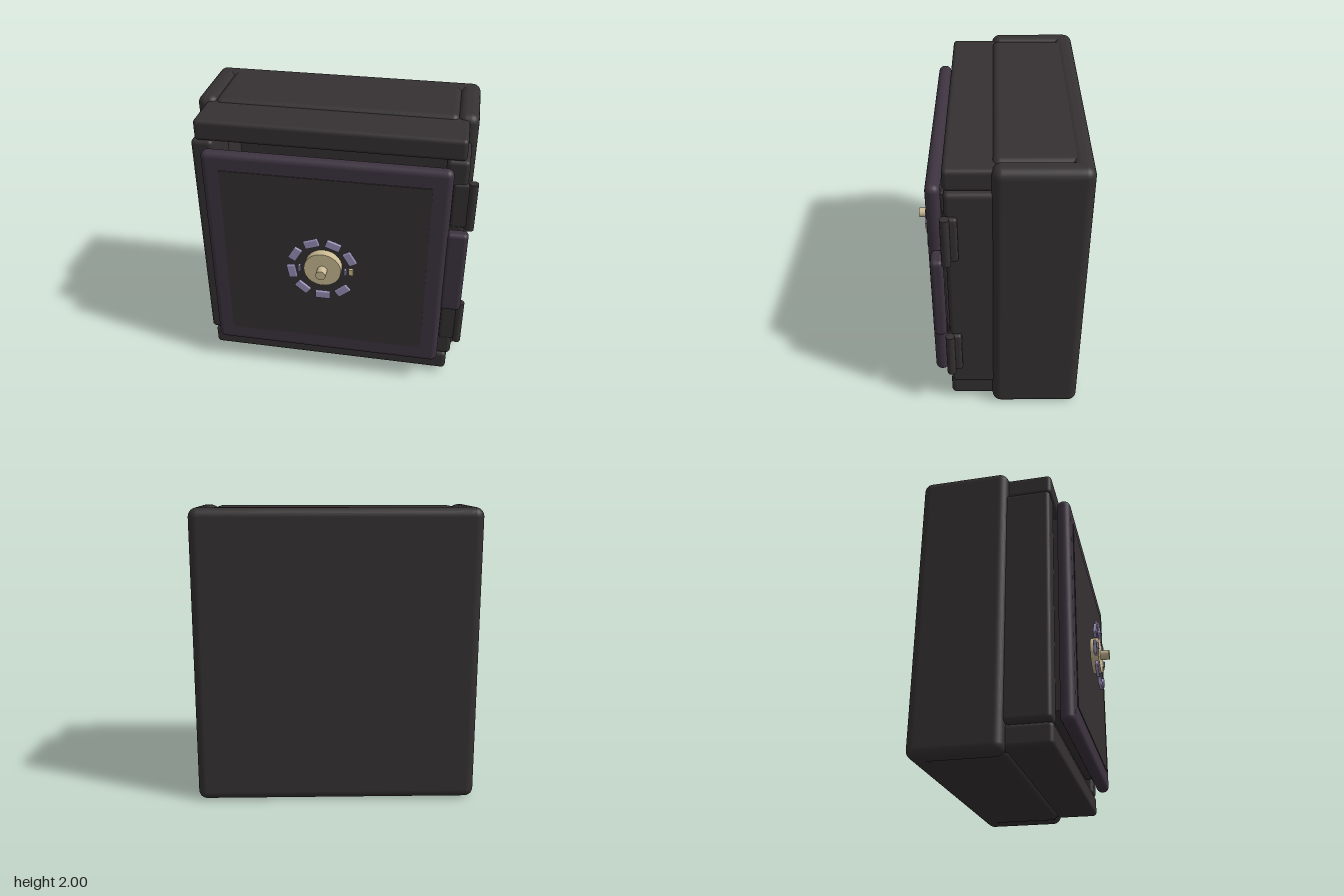
import * as THREE from 'three';
import { RoundedBoxGeometry } from 'three/addons/geometries/RoundedBoxGeometry.js';

const mat = (color) => new THREE.MeshStandardMaterial({ color });

export function createModel() {
  const model = new THREE.Group();
  const iron = mat(0x353132);
  const trim = mat(0x3d3340);
  const brass = mat(0xcbbb94);
  const lilac = mat(0x9a90b8);

  const add = (name, geometry, material, parent = model) => {
    const mesh = new THREE.Mesh(geometry, material);
    mesh.name = name;
    parent.add(mesh);
    return mesh;
  };
  // Box given by its extents along each axis; r rounds the edges
  const block = (name, [x0, x1], [y0, y1], [z0, z1], r, material, parent) => {
    const size = [x1 - x0, y1 - y0, z1 - z0];
    const geometry = r ? new RoundedBoxGeometry(...size, 4, r) : new THREE.BoxGeometry(...size);
    const mesh = add(name, geometry, material, parent);
    mesh.position.set((x0 + x1) / 2, (y0 + y1) / 2, (z0 + z1) / 2);
    return mesh;
  };

  // Hollow body: back plate and four thick rounded walls
  block('backPlate', [-0.975, 0.94], [0, 2], [-0.57, -0.43], 0.06, iron);
  block('rightWall', [-0.975, -0.83], [0, 2], [-0.57, 0.03], 0.06, iron);
  block('leftWall', [0.795, 0.94], [0, 2], [-0.57, 0.03], 0.06, iron);
  block('topWall', [-0.85, 0.815], [1.84, 1.995], [-0.56, 0.03], 0.05, iron);
  block('bottomWall', [-0.85, 0.815], [0.005, 0.16], [-0.56, 0.03], 0.05, iron);

  // Front frame around the door opening
  block('frameTop', [-0.91, 0.88], [1.82, 1.97], [-0.05, 0.32], 0.03, iron);
  block('frameBottom', [-0.91, 0.88], [0.04, 0.19], [-0.05, 0.32], 0.03, iron);
  block('frameRight', [-0.94, -0.79], [0.19, 1.82], [-0.05, 0.315], 0.03, iron);
  block('frameLeft', [0.755, 0.905], [0.19, 1.82], [-0.05, 0.315], 0.03, iron);

  // Door with a flat front panel and an inner plug
  const door = new THREE.Group();
  door.name = 'door';
  model.add(door);
  block('doorSlab', [-0.845, 0.81], [0.2, 1.8], [0.34, 0.433], 0.044, trim, door);
  block('doorPanel', [-0.72, 0.685], [0.335, 1.675], [0.4, 0.438], 0, iron, door);
  block('doorPlug', [-0.77, 0.73], [0.3, 1.7], [0.26, 0.35], 0, iron, door);

  // Hinges: strap on the door between two knuckles on the frame
  block('hingeStrap', [0.795, 0.94], [0.69, 1.33], [0.33, 0.415], 0.03, trim);
  for (const y of [0.515, 1.495]) {
    block('hingeLeaf', [0.81, 0.935], [y - 0.165, y + 0.165], [0.235, 0.325], 0.02, iron);
    add('hingePin', new THREE.CylinderGeometry(0.03, 0.03, 0.35, 16), iron).position.set(0.94, y, 0.31);
  }

  // Combination dial
  const dial = new THREE.Group();
  dial.name = 'dial';
  dial.position.set(-0.02, 1, 0);
  model.add(dial);
  const disc = (name, r, z0, z1) => {
    const mesh = add(name, new THREE.CylinderGeometry(r, r, z1 - z0, 32), brass, dial);
    mesh.rotation.x = Math.PI / 2;
    mesh.position.z = (z0 + z1) / 2;
  };
  disc('dialDisc', 0.13, 0.447, 0.505);
  disc('dialKnob', 0.035, 0.5, 0.57);

  // Ring of dial marks, with one place left for the pointer
  for (let i = 0; i < 9; i++) {
    if (i === 2) continue;
    const a = THREE.MathUtils.degToRad(-90 + 40 * i);
    const mark = add('dialMark', new RoundedBoxGeometry(0.105, 0.06, 0.022, 2, 0.008), lilac, dial);
    mark.position.set(0.218 * Math.cos(a), 0.218 * Math.sin(a), 0.495);
    mark.rotation.z = a + Math.PI / 2;
  }
  for (const x of [-0.16, 0.16]) {
    block('dialTick', [x - 0.008, x + 0.008], [-0.022, 0.022], [0.485, 0.515], 0, lilac, dial);
  }
  block('dialPointer', [0.183, 0.215], [-0.022, 0.024], [0.485, 0.505], 0, brass, dial);

  return model;
}
